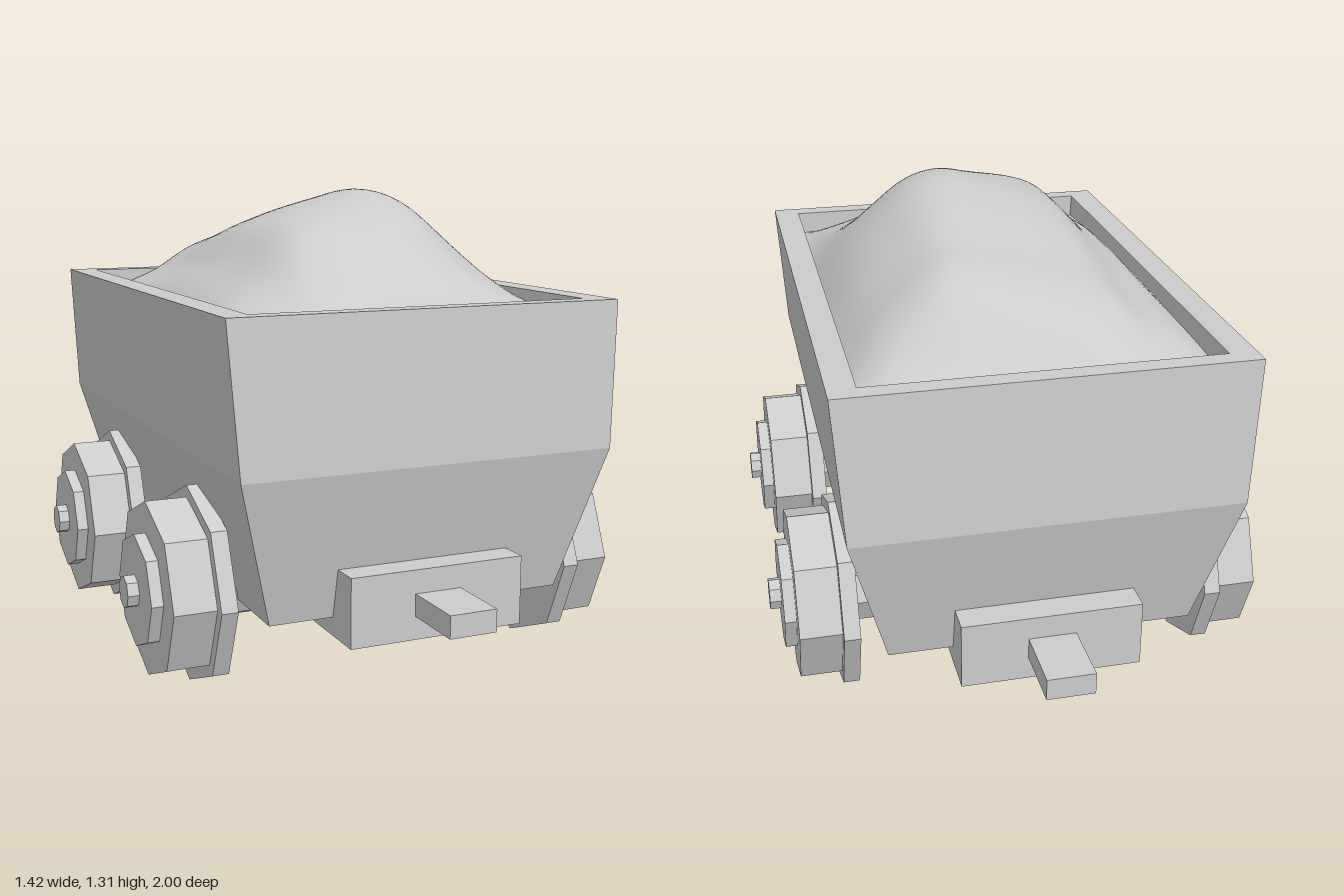
import * as THREE from 'three';

const grey = new THREE.MeshStandardMaterial({ color: 0xcccccc, flatShading: true });
const smooth = new THREE.MeshStandardMaterial({ color: 0xcccccc, side: THREE.DoubleSide });

function add(parent, name, geometry, material = grey) {
  const mesh = new THREE.Mesh(geometry, material);
  mesh.name = name;
  parent.add(mesh);
  return mesh;
}

// Octagonal drum lying along x, from x0 to x1, with a corner pointing up
function drum(x0, x1, radius) {
  return new THREE.CylinderGeometry(radius, radius, x1 - x0, 8)
    .rotateZ(Math.PI / 2)
    .translate((x0 + x1) / 2, 0, 0);
}

// Loft through rectangular rings [halfX, y, halfZ], closed at both ends
function rectLoft(rings) {
  const signs = [[-1, 1], [1, 1], [1, -1], [-1, -1]];
  const pos = [];
  const corner = ([hx, y, hz], i) => [signs[i % 4][0] * hx, y, signs[i % 4][1] * hz];
  const quad = (a, b, c, d) => pos.push(...a, ...b, ...c, ...a, ...c, ...d);
  for (let r = 0; r < rings.length - 1; r++) {
    for (let i = 0; i < 4; i++) {
      quad(corner(rings[r], i), corner(rings[r], i + 1),
        corner(rings[r + 1], i + 1), corner(rings[r + 1], i));
    }
  }
  const first = rings[0], last = rings[rings.length - 1];
  quad(corner(first, 3), corner(first, 2), corner(first, 1), corner(first, 0));
  quad(corner(last, 0), corner(last, 1), corner(last, 2), corner(last, 3));
  const geo = new THREE.BufferGeometry();
  geo.setAttribute('position', new THREE.Float32BufferAttribute(pos, 3));
  geo.computeVertexNormals();
  return geo;
}

// Smooth curve through [position, value] pairs
function profile(points) {
  const curve = new THREE.CubicInterpolant(points.map(p => p[0]), points.map(p => p[1]), 1);
  return t => curve.evaluate(t)[0];
}

// Heaped load: product of a cross profile and a length profile, with soft dents
function heapGeometry() {
  const hx = 0.475, hz = 0.72, base = 0.96, height = 0.35;
  const across = profile([[-0.475, 0.06], [-0.43, 0.2], [-0.33, 0.42], [-0.24, 0.68], [-0.15, 0.81],
    [0, 0.94], [0.1, 1], [0.2, 0.93], [0.3, 0.7], [0.4, 0.39], [0.475, 0.06]]);
  const along = profile([[-0.72, 0.06], [-0.67, 0.2], [-0.6, 0.4], [-0.5, 0.6], [-0.3, 0.76],
    [-0.1, 0.92], [0.1, 1], [0.25, 0.95], [0.4, 0.79], [0.5, 0.6], [0.67, 0.22], [0.72, 0.06]]);
  const blob = (x, z, cx, cz, r) => Math.exp(-((x - cx) ** 2 + (z - cz) ** 2) / (r * r));
  const geo = new THREE.PlaneGeometry(2 * hx, 2 * hz, 40, 60).rotateX(-Math.PI / 2);
  const p = geo.attributes.position;
  for (let i = 0; i < p.count; i++) {
    const x = p.getX(i), z = p.getZ(i);
    const f = across(x) * along(z);
    const dents = 1 - 0.25 * blob(x, z, 0.33, 0.48, 0.2) + 0.15 * blob(x, z, -0.25, 0.45, 0.18)
      + 0.15 * blob(x, z, 0.28, -0.45, 0.18);
    p.setY(i, base + height * f * dents);
  }
  geo.computeVertexNormals();
  return geo;
}

export function createModel() {
  const model = new THREE.Group();
  model.name = 'mineCart';

  // Tub: outside wall, flat rim, inside wall and floor
  add(model, 'tub', rectLoft([
    [0.42, 0.24, 0.71], [0.525, 0.635, 0.8], [0.55, 1.03, 0.775],
    [0.475, 1.03, 0.72], [0.455, 0.635, 0.72], [0.36, 0.4, 0.64],
  ]));
  add(model, 'load', heapGeometry(), smooth);

  // Chassis beam with a coupler at each end
  add(model, 'chassis', new THREE.BoxGeometry(0.49, 0.185, 1.64)).position.y = 0.2825;
  for (const side of [1, -1]) {
    add(model, side > 0 ? 'frontCoupler' : 'backCoupler', new THREE.BoxGeometry(0.13, 0.06, 0.2))
      .position.set(0, 0.282, side * 0.9);
  }

  // Axles and stepped octagonal wheels
  for (const z of [0.395, -0.395]) {
    const set = new THREE.Group();
    set.name = z > 0 ? 'frontWheelSet' : 'backWheelSet';
    set.position.set(0, 0.272, z);
    add(set, 'axle', drum(-0.49, 0.49, 0.102));
    for (const side of [1, -1]) {
      const wheel = new THREE.Group();
      wheel.name = side > 0 ? 'leftWheel' : 'rightWheel';
      if (side < 0) wheel.rotation.y = Math.PI;
      add(wheel, 'flange', drum(0.485, 0.53, 0.272));
      add(wheel, 'tread', drum(0.53, 0.645, 0.24));
      add(wheel, 'hub', drum(0.645, 0.677, 0.154));
      add(wheel, 'axleCap', drum(0.677, 0.708, 0.044));
      set.add(wheel);
    }
    model.add(set);
  }
  return model;
}
